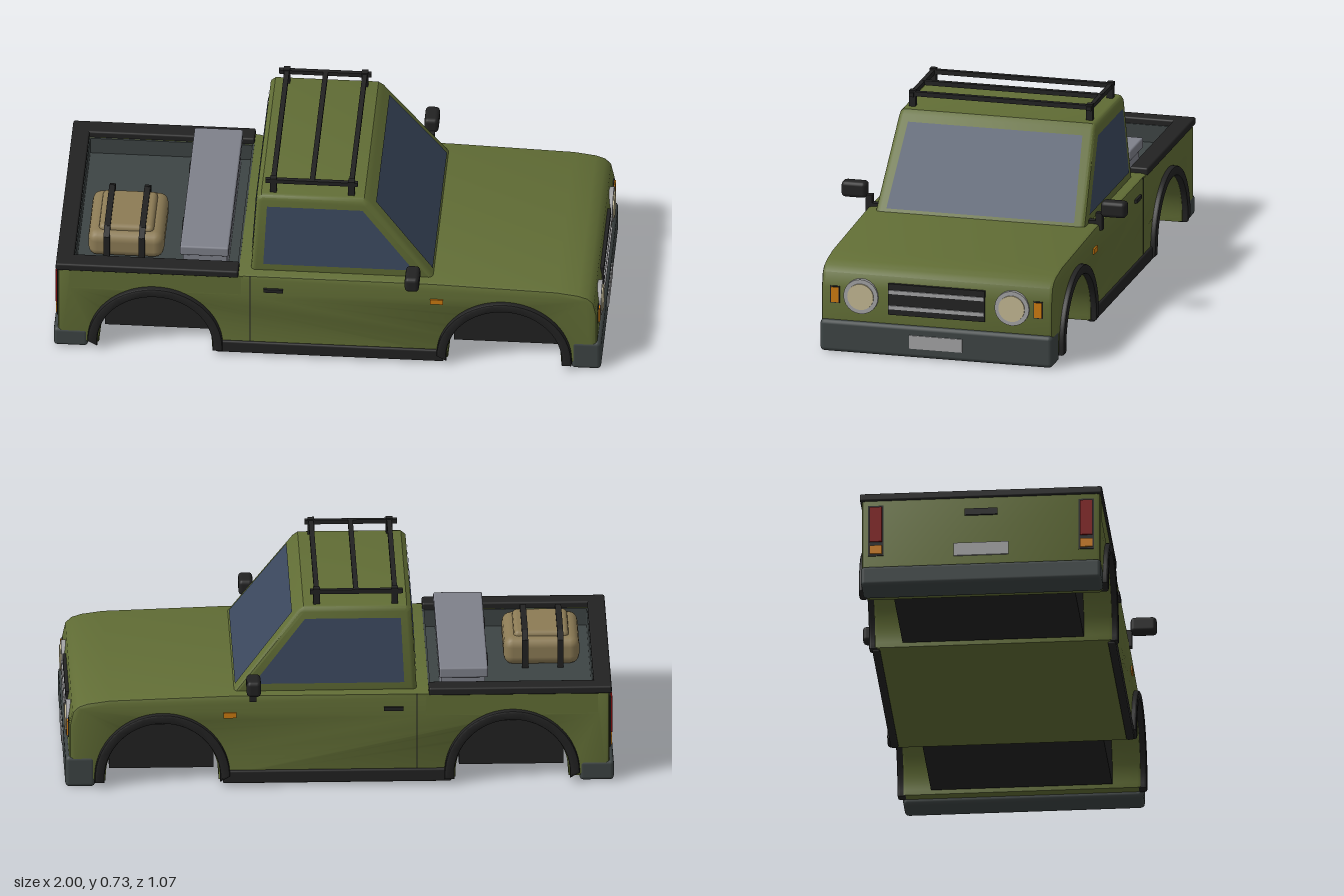
import * as THREE from 'three';
import { toCreasedNormals } from 'three/addons/utils/BufferGeometryUtils.js';
import { RoundedBoxGeometry } from 'three/addons/geometries/RoundedBoxGeometry.js';

function material(name, color, side = THREE.FrontSide) {
  const m = new THREE.MeshStandardMaterial({ color, side });
  m.name = name;
  return m;
}

export function createModel() {
  const green = material('olive paint', 0x616d35);
  const glass = material('dark glass', 0x3b485e, THREE.DoubleSide);
  const black = material('black trim', 0x222222);
  const grey = material('dark grey plastic', 0x3d4444);
  const silver = material('silver', 0xa2a2a4);
  const steel = material('toolbox steel', 0x7e808a);
  const tan = material('tan canvas', 0x8c7b55);
  const cream = material('lamp lens', 0xc2b792);
  const orange = material('orange lens', 0xcc7a10);
  const red = material('red lens', 0x800808);

  const model = new THREE.Group();
  model.name = 'pickupTruck';

  const add = (name, geometry, mat, x = 0, y = 0, z = 0) => {
    const mesh = new THREE.Mesh(geometry, mat);
    mesh.name = name;
    mesh.position.set(x, y, z);
    model.add(mesh);
    return mesh;
  };
  // Box given by its minimum and maximum on each axis, optionally rounded
  const box = (name, mat, [x0, x1], [y0, y1], [z0, z1], r = 0) => {
    const size = [x1 - x0, y1 - y0, z1 - z0];
    const g = r ? new RoundedBoxGeometry(...size, 2, r) : new THREE.BoxGeometry(...size);
    return add(name, g, mat, (x0 + x1) / 2, (y0 + y1) / 2, (z0 + z1) / 2);
  };
  // The same box on both sides of the truck
  const pair = (name, mat, xs, ys, [z0, z1], r = 0) => {
    box(name + 'Left', mat, xs, ys, [z0, z1], r);
    box(name + 'Right', mat, xs, ys, [-z1, -z0], r);
  };
  // Side profile extruded across z, with bevels kept inside the outline
  const extrude = (shape, width, bevel, segments = 2) => {
    const g = new THREE.ExtrudeGeometry(shape, {
      depth: width - 2 * bevel, bevelEnabled: bevel > 0, bevelSize: bevel,
      bevelThickness: bevel, bevelOffset: -bevel, bevelSegments: segments, curveSegments: 28,
    });
    g.translate(0, 0, -width / 2 + bevel);
    return toCreasedNormals(g, 0.6);
  };
  const polygon = (points) => new THREE.Shape(points.map(([x, y]) => new THREE.Vector2(x, y)));
  const wheels = [-0.63, 0.64];
  const hubY = 0.04;

  // Lower body with wheel arches and a notch for the load bed
  const body = new THREE.Shape();
  body.moveTo(-0.985, 0.02);
  for (const x of wheels) {
    body.lineTo(x - 0.205, 0.02);
    body.absarc(x, hubY, 0.205, Math.PI, 0, true);
    body.lineTo(x + 0.205, 0.02);
  }
  for (const [x, y] of [[0.965, 0.02], [0.978, 0.12], [0.978, 0.24], [0.966, 0.295], [0.945, 0.316],
    [0.91, 0.328], [0.83, 0.339], [0.38, 0.353], [-0.33, 0.353], [-0.33, 0.28], [-0.93, 0.28],
    [-0.93, 0.353], [-0.985, 0.353]]) body.lineTo(x, y);
  body.closePath();
  add('body', extrude(body, 0.87, 0.014), green);
  pair('bedSide', green, [-0.95, -0.31], [0.262, 0.35], [0.37, 0.434]);

  // Bed lining and top rails
  box('bedFloor', grey, [-0.93, -0.33], [0.277, 0.285], [-0.37, 0.37]);
  pair('bedLining', grey, [-0.93, -0.33], [0.28, 0.35], [0.365, 0.371]);
  box('tailgateLining', grey, [-0.932, -0.925], [0.28, 0.35], [-0.37, 0.37]);
  box('bedFrontLining', grey, [-0.335, -0.328], [0.28, 0.354], [-0.37, 0.37]);
  pair('bedRail', black, [-0.992, -0.328], [0.345, 0.374], [0.372, 0.441], 0.007);
  box('tailgateRail', black, [-0.992, -0.928], [0.345, 0.374], [-0.44, 0.44], 0.007);

  // Cab, narrowing towards the roof
  const taper = (g) => {
    const p = g.attributes.position;
    for (let i = 0; i < p.count; i++) p.setZ(i, p.getZ(i) * (1 - (p.getY(i) - 0.34) * 0.2));
    return g;
  };
  const cab = polygon([[-0.286, 0.34], [0.388, 0.34], [0.145, 0.655], [0.125, 0.67],
    [-0.25, 0.67], [-0.267, 0.655]]);
  add('cab', taper(extrude(cab, 0.79, 0.02, 3)), green);

  // Windows
  const sideWindow = polygon([[-0.24, 0.38], [0.308, 0.38], [0.12, 0.625], [-0.228, 0.625]]);
  for (const [side, z] of [['Left', 0.3965], ['Right', -0.3965]]) {
    const g = new THREE.ShapeGeometry(sideWindow);
    g.translate(0, 0, z);
    add('sideWindow' + side, taper(g), glass).geometry.computeVertexNormals();
  }
  // Pane across the truck between a lower and an upper edge [x, y, halfWidth]
  const pane = (name, [x0, y0, w0], [x1, y1, w1]) => {
    const g = new THREE.BufferGeometry();
    g.setAttribute('position', new THREE.Float32BufferAttribute(
      [x0, y0, w0, x0, y0, -w0, x1, y1, -w1, x1, y1, w1], 3));
    g.setIndex(x0 > 0 ? [0, 1, 2, 0, 2, 3] : [0, 2, 1, 0, 3, 2]);
    g.computeVertexNormals();
    add(name, g, glass);
  };
  pane('windshield', [0.374, 0.365, 0.353], [0.166, 0.635, 0.328]);
  pane('rearWindow', [-0.286, 0.39, 0.345], [-0.272, 0.63, 0.325]);

  // Roof rack
  pair('rackRail', black, [-0.236, 0.1], [0.708, 0.724], [0.326, 0.342]);
  for (const x of [-0.207, -0.066, 0.077]) {
    box('rackBar', black, [x - 0.009, x + 0.009], [0.708, 0.725], [-0.34, 0.34]);
  }
  for (const x of [-0.207, 0.077]) {
    pair('rackPost', black, [x - 0.012, x + 0.012], [0.655, 0.73], [0.321, 0.345]);
  }

  // Wheel arch flares and the dark inner blocks
  for (const x of wheels) {
    const flare = new THREE.Shape();
    flare.moveTo(x - 0.246, 0.02);
    flare.absarc(x, hubY, 0.246, Math.PI, 0, true);
    flare.lineTo(x + 0.246, 0.02);
    flare.lineTo(x + 0.21, 0.02);
    flare.absarc(x, hubY, 0.21, 0, Math.PI, false);
    flare.lineTo(x - 0.21, 0.02);
    flare.closePath();
    const g = extrude(flare, 0.035, 0.008);
    for (const z of [0.437, -0.437]) add('archFlare', g, black, 0, 0, z);
    box('wheelWellBlock', black, [x - 0.19, x + 0.19], [0.03, 0.2], [-0.33, 0.33]);
  }
  pair('sill', black, [-0.41, 0.42], [0.01, 0.06], [0.415, 0.443], 0.007);

  // Bumpers and number plates
  box('frontBumper', grey, [0.883, 0.992], [0, 0.12], [-0.437, 0.437], 0.016);
  box('rearBumper', grey, [-1, -0.875], [0.004, 0.08], [-0.437, 0.437], 0.014);
  box('frontPlate', silver, [0.99, 0.996], [0.036, 0.086], [-0.1, 0.1]);
  box('rearPlate', silver, [-0.991, -0.984], [0.115, 0.165], [-0.1, 0.1]);
  box('tailgateHandle', black, [-0.993, -0.984], [0.275, 0.3], [-0.06, 0.06]);

  // Grille
  box('grille', black, [0.96, 0.984], [0.155, 0.272], [-0.182, 0.182]);
  for (const y of [0.184, 0.242]) {
    box('grilleBar', silver, [0.98, 0.989], [y - 0.007, y + 0.007], [-0.178, 0.178]);
  }

  // Headlights
  const disc = (r, depth, sides) => new THREE.CylinderGeometry(r, r, depth, sides).rotateZ(-Math.PI / 2);
  for (const z of [0.284, -0.284]) {
    add('headlightRing', disc(0.065, 0.03, 24), silver, 0.971, 0.215, z);
    add('headlightLens', disc(0.049, 0.03, 24), cream, 0.976, 0.215, z);
  }

  // Indicators and tail lights
  pair('frontIndicatorFrame', black, [0.965, 0.981], [0.183, 0.247], [0.364, 0.4]);
  pair('frontIndicator', orange, [0.97, 0.986], [0.187, 0.243], [0.368, 0.396]);
  pair('sideIndicator', orange, [0.37, 0.418], [0.266, 0.286], [0.43, 0.441]);
  pair('tailLightFrame', black, [-0.989, -0.98], [0.125, 0.325], [0.355, 0.412]);
  pair('tailLight', red, [-0.995, -0.98], [0.18, 0.318], [0.361, 0.406]);
  pair('rearIndicator', orange, [-0.994, -0.98], [0.132, 0.165], [0.361, 0.406]);

  // Doors and mirrors
  pair('doorSeam', black, [-0.287, -0.283], [0.06, 0.35], [0.43, 0.4358]);
  pair('doorHandle', black, [-0.235, -0.165], [0.288, 0.302], [0.43, 0.444]);
  pair('mirrorFoot', black, [0.298, 0.324], [0.33, 0.365], [0.37, 0.445]);
  pair('mirrorArm', black, [0.298, 0.324], [0.34, 0.395], [0.42, 0.445]);
  pair('mirror', black, [0.284, 0.336], [0.382, 0.442], [0.44, 0.535], 0.015);

  // Toolbox behind the cab
  box('toolbox', steel, [-0.535, -0.375], [0.283, 0.385], [-0.35, 0.35]);
  box('toolboxLid', steel, [-0.545, -0.368], [0.382, 0.422], [-0.365, 0.365], 0.007);
  for (const z of [-0.17, 0.17]) {
    box('toolboxLatch', black, [-0.55, -0.53], [0.352, 0.388], [z - 0.03, z + 0.03]);
  }

  // Strapped canvas bag
  box('bagBase', tan, [-0.888, -0.612], [0.284, 0.39], [-0.022, 0.272], 0.035);
  box('bagTop', tan, [-0.85, -0.65], [0.35, 0.408], [0.01, 0.24], 0.018);
  for (const x of [-0.818, -0.69]) {
    const xs = [x - 0.011, x + 0.011];
    box('bagStrapTop', black, xs, [0.4, 0.416], [0.0, 0.25]);
    for (const [z, s] of [[-0.03, 1], [0.28, -1]]) {
      box('bagStrapSide', black, xs, [0.284, 0.392], [z - 0.009, z + 0.009]);
      const slope = box('bagStrapSlope', black, xs, [0.392, 0.406], [z + s * 0.015 - 0.024, z + s * 0.015 + 0.024]);
      slope.rotation.x = -s * 0.5;
    }
  }
  return model;
}
